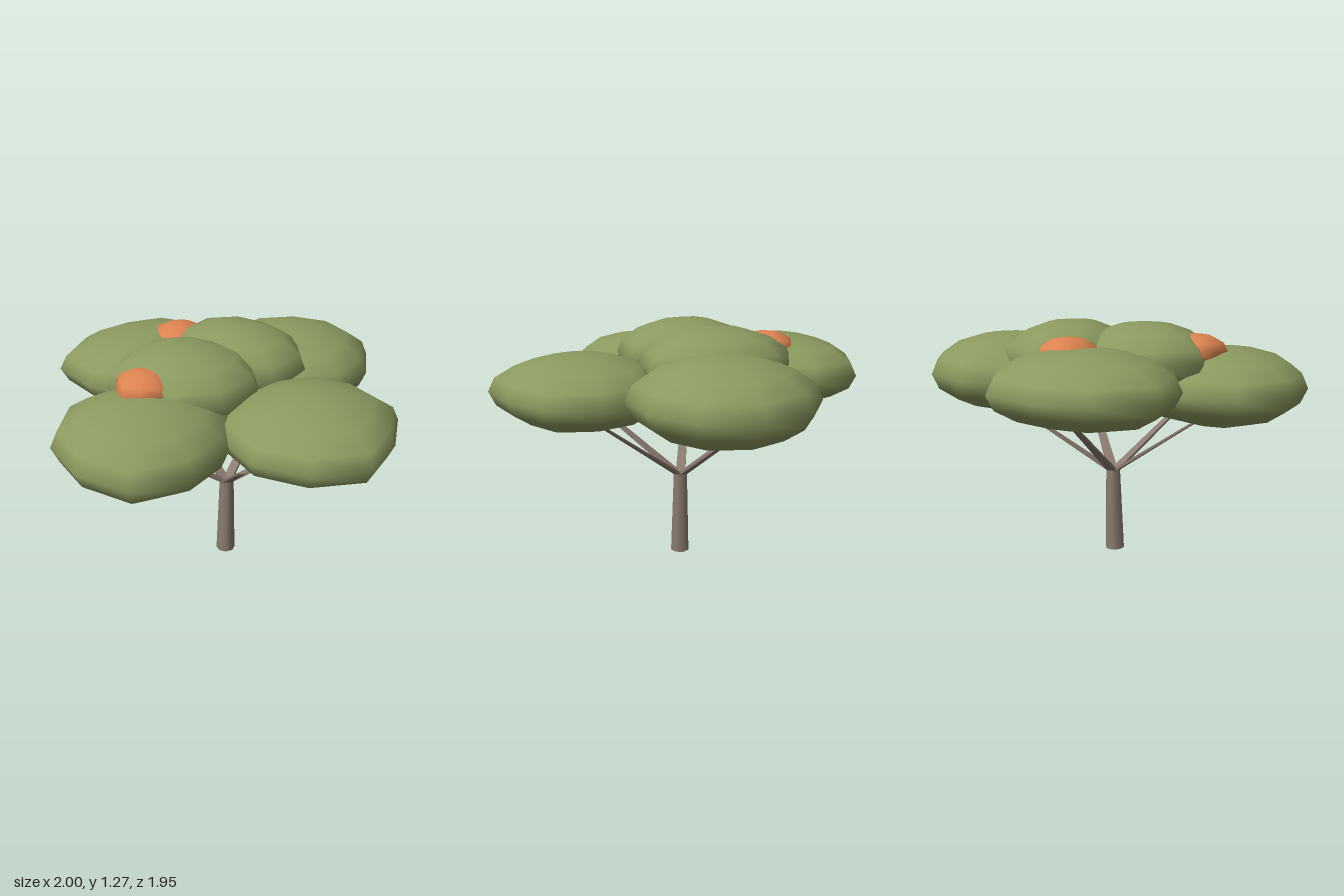
import * as THREE from 'three';
import { mergeVertices } from 'three/addons/utils/BufferGeometryUtils.js';

const SIDES = 10;

// Flattened ten-sided clump; radii run around from +x towards +z.
function clumpGeometry(radii, halfHeight, rings = 8) {
  let geo = new THREE.SphereGeometry(1, SIDES, rings);
  geo.deleteAttribute('uv');
  geo.deleteAttribute('normal');
  const p = geo.attributes.position;
  for (let i = 0; i < p.count; i++) {
    const x = p.getX(i), z = p.getZ(i);
    const k = Math.round(Math.atan2(z, x) / (2 * Math.PI / SIDES));
    const r = radii[(k + SIDES) % SIDES];
    p.setXYZ(i, x * r, p.getY(i) * halfHeight, z * r);
  }
  geo = mergeVertices(geo, 1e-4);
  geo.computeVertexNormals();
  return geo;
}

// Flat tapering limb, wide across its direction of lean.
function limbGeometry(length, w0, w1, t0, t1) {
  const geo = new THREE.BoxGeometry(1, length, 1);
  geo.translate(0, length / 2, 0);
  const p = geo.attributes.position;
  for (let i = 0; i < p.count; i++) {
    const top = p.getY(i) > length / 2;
    p.setX(i, p.getX(i) * (top ? t1 : t0));
    p.setZ(i, p.getZ(i) * (top ? w1 : w0));
  }
  geo.computeVertexNormals();
  return geo;
}

export function createModel() {
  const tree = new THREE.Group();
  tree.name = 'tree';
  const material = (name, color) => {
    const m = new THREE.MeshStandardMaterial({ color });
    m.name = name;
    return m;
  };
  const bark = material('bark', 0x8b7b70);
  const leaf = material('leaf green', 0x8b9a5f);
  const bloom = material('orange bloom', 0xdd8350);

  const add = (name, geo, mat, x, y, z) => {
    const mesh = new THREE.Mesh(geo, mat);
    mesh.name = name;
    mesh.position.set(x, y, z);
    tree.add(mesh);
    return mesh;
  };

  // Trunk, leaning very slightly
  const trunk = add('trunk', new THREE.CylinderGeometry(0.038, 0.052, 0.46, 8), bark, -0.004, 0.23, 0);
  trunk.rotation.z = -0.022;

  // Five limbs spread evenly around the fork
  for (let i = 0; i < 5; i++) {
    const a = (-11 + 72 * i) * Math.PI / 180;
    const reach = 0.67, rise = 0.46;
    const pivot = new THREE.Group();
    pivot.name = 'limb' + (i + 1);
    pivot.position.set(0.012 * Math.cos(a), 0.445, 0.012 * Math.sin(a));
    pivot.rotation.y = -a;
    const limb = new THREE.Mesh(limbGeometry(Math.hypot(reach, rise), 0.052, 0.026, 0.016, 0.007), bark);
    limb.name = 'limbBlade';
    limb.rotation.z = -Math.atan2(reach, rise);
    pivot.add(limb);
    tree.add(pivot);
  }

  // Leaf canopies: name, centre, half height, radii
  const canopies = [
    ['rightCanopy', [-0.55, 0.94, 0], 0.20, [0.43, 0.42, 0.40, 0.43, 0.485, 0.45, 0.46, 0.47, 0.43, 0.44]],
    ['leftCanopy', [0.545, 0.98, 0], 0.205, [0.455, 0.45, 0.43, 0.45, 0.45, 0.44, 0.45, 0.475, 0.47, 0.45]],
    ['frontCanopy', [0, 0.953, 0.53], 0.185, [0.44, 0.45, 0.41, 0.465, 0.45, 0.45, 0.45, 0.43, 0.42, 0.45]],
    ['backCanopy', [0, 1.0, -0.55], 0.182, [0.47, 0.44, 0.43, 0.43, 0.45, 0.45, 0.50, 0.455, 0.42, 0.47]],
    ['topRightCanopy', [-0.19, 1.085, -0.11], 0.18, [0.35, 0.37, 0.39, 0.38, 0.36, 0.33, 0.39, 0.36, 0.37, 0.36]],
    ['topLeftCanopy', [0.18, 1.085, -0.11], 0.185, [0.34, 0.37, 0.40, 0.385, 0.32, 0.28, 0.34, 0.37, 0.40, 0.38]],
  ];
  for (const [name, c, h, radii] of canopies) add(name, clumpGeometry(radii, h), leaf, ...c);

  // Small orange bloom clumps tucked between the canopies
  const bloomRadii = [0.15, 0.16, 0.14, 0.16, 0.15, 0.16, 0.145, 0.165, 0.15, 0.155];
  add('sideBloom', clumpGeometry(bloomRadii, 0.085, 6), bloom, -0.445, 1.13, -0.12);
  add('backBloom', clumpGeometry(bloomRadii, 0.085, 6), bloom, 0.115, 1.135, -0.435);

  return tree;
}
